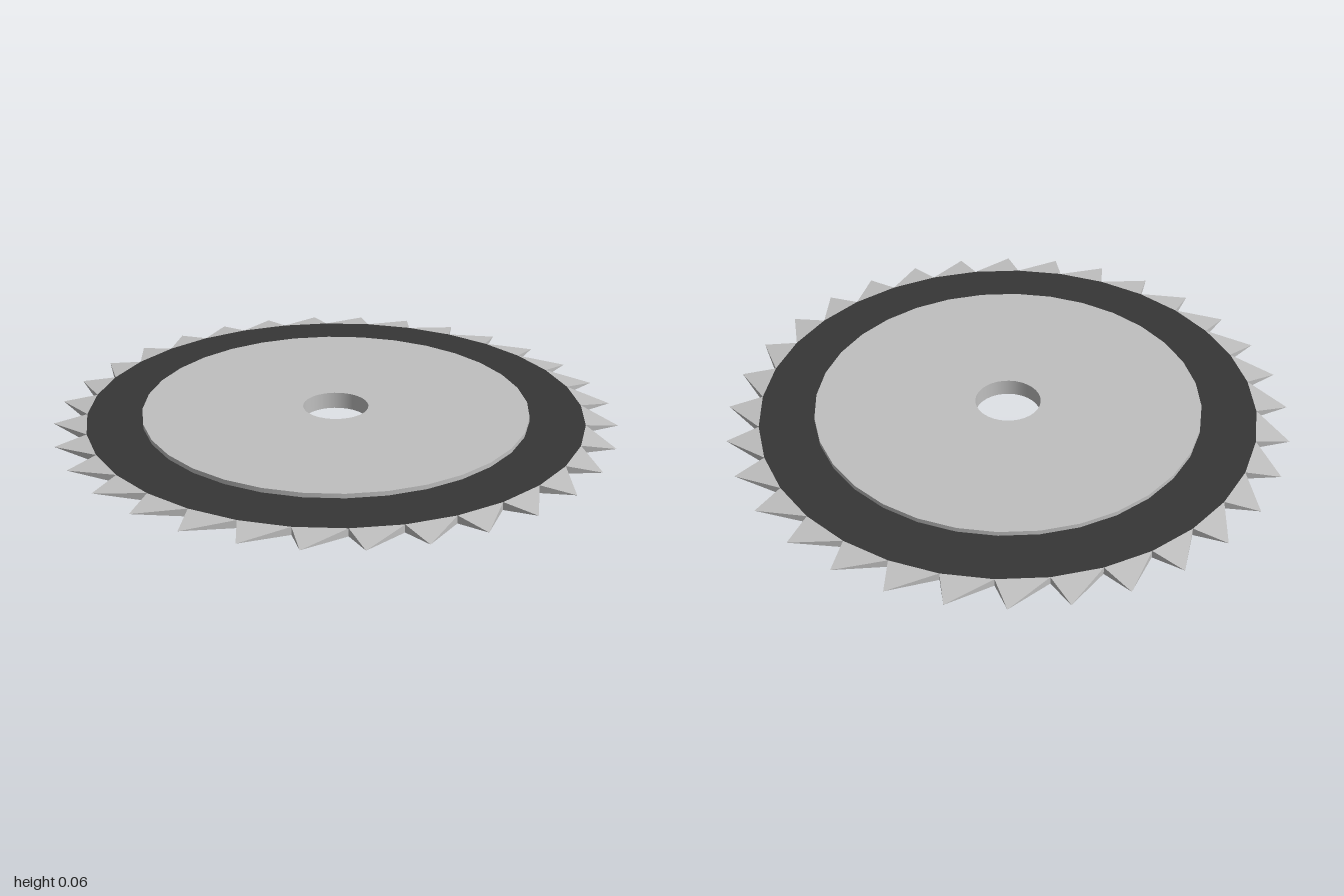
import * as THREE from 'three';
import { mergeGeometries } from 'three/addons/utils/BufferGeometryUtils.js';

const SIDES = 32;
const STEP = (Math.PI * 2) / SIDES;
const MID = 0.03;          // height of the blade's centre plane
const HUB_R = 0.69, HOLE_R = 0.117, RIM_R = 0.886, TIP_R = 1.001;
const HALF = 0.014;        // half thickness of the rim

// Ring with a rectangular section: smooth around, sharp at its edges
function ringGeometry(inner, outer, y0, y1) {
  const p = [[outer, y0], [outer, y1], [inner, y1], [inner, y0], [outer, y0]]
    .map(([x, y]) => new THREE.Vector2(x, y));
  const walls = [];
  for (let i = 0; i < 4; i++) walls.push(new THREE.LatheGeometry([p[i], p[i + 1]], SIDES));
  return mergeGeometries(walls);
}

// Raked pyramid teeth, one on each side of the rim
function teethGeometry() {
  const at = (r, a, y) => [r * Math.cos(a), y, r * Math.sin(a)];
  const pos = [];
  for (let i = 0; i < SIDES; i++) {
    const a = i * STEP, b = a + STEP;
    const aLo = at(RIM_R, a, MID - HALF), aHi = at(RIM_R, a, MID + HALF);
    const bLo = at(RIM_R, b, MID - HALF), bHi = at(RIM_R, b, MID + HALF);
    const tip = at(TIP_R, b - THREE.MathUtils.degToRad(2.6), MID);
    for (const [u, v] of [[aHi, bHi], [bLo, aLo], [aLo, aHi], [bHi, bLo]]) {
      pos.push(...u, ...v, ...tip);
    }
  }
  const g = new THREE.BufferGeometry();
  g.setAttribute('position', new THREE.Float32BufferAttribute(pos, 3));
  g.computeVertexNormals();
  return g;
}

export function createModel() {
  const steel = new THREE.MeshStandardMaterial({ color: 0xc0c0c0 });
  steel.name = 'steel';
  const dark = new THREE.MeshStandardMaterial({ color: 0x363636 });
  dark.name = 'darkGrey';

  const model = new THREE.Group();
  model.name = 'sawBlade';
  const add = (name, geometry, material) => {
    const mesh = new THREE.Mesh(geometry, material);
    mesh.name = name;
    model.add(mesh);
  };

  add('hub', ringGeometry(HOLE_R, HUB_R, 0, 2 * MID), steel);
  add('rim', ringGeometry(HUB_R - 0.01, RIM_R, MID - HALF, MID + HALF), dark);
  add('teeth', teethGeometry(), steel);
  return model;
}
